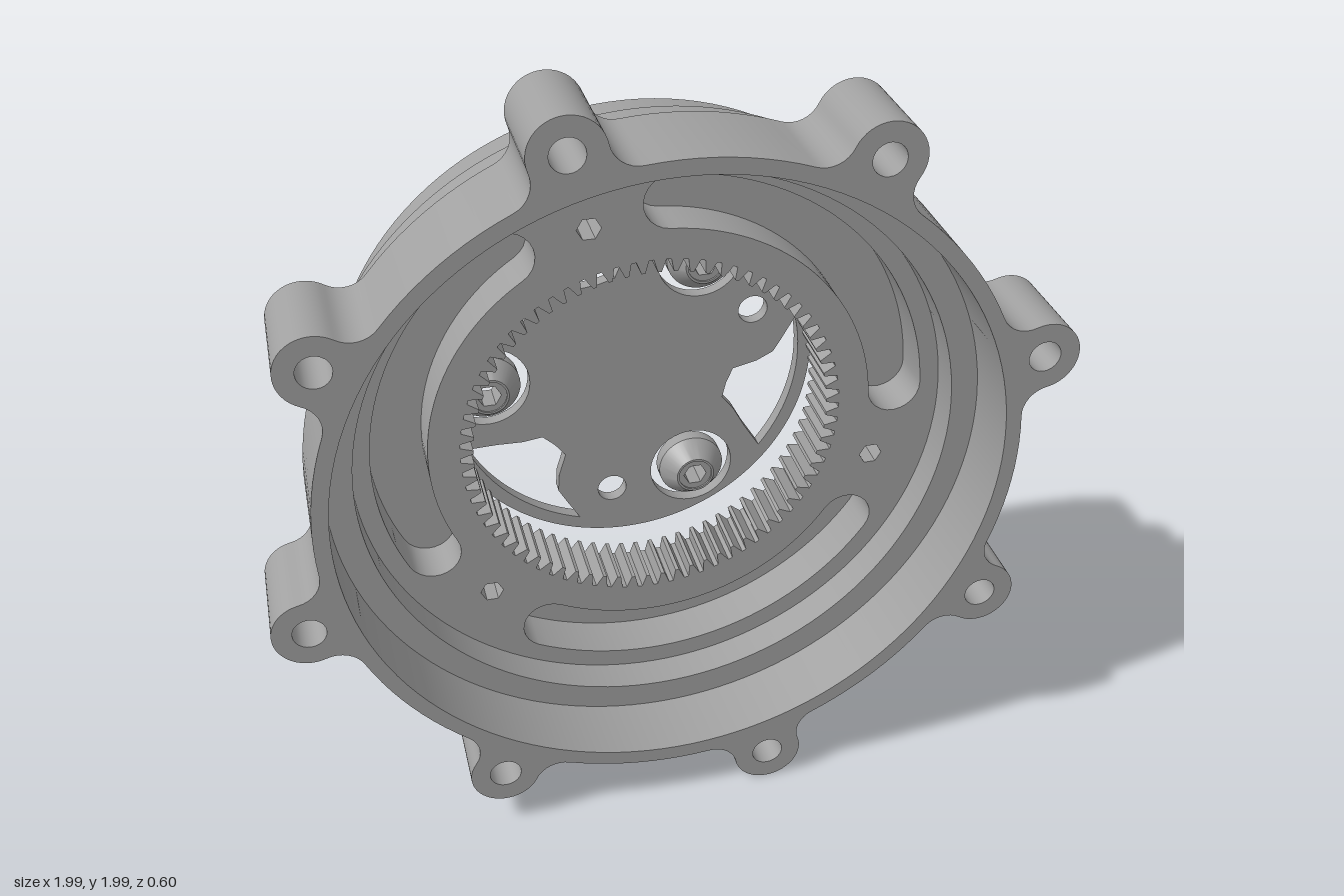
import * as THREE from 'three';
import { toCreasedNormals } from 'three/addons/utils/BufferGeometryUtils.js';

const RAD = Math.PI / 180;
const metal = new THREE.MeshStandardMaterial({ color: 0xa0a0a0 });
metal.name = 'grey metal';

const polar = (r, deg, cx = 0, cy = 0) =>
  new THREE.Vector2(cx + r * Math.cos(deg * RAD), cy + r * Math.sin(deg * RAD));

// Points along an arc, angles in degrees
function arc(r, a0, a1, n, cx = 0, cy = 0) {
  const pts = [];
  for (let i = 0; i <= n; i++) pts.push(polar(r, a0 + (a1 - a0) * i / n, cx, cy));
  return pts;
}
const circle = (r, n, c = { x: 0, y: 0 }) => arc(r, 0, 360, n, c.x, c.y).slice(0, n);

function addMesh(group, name, geo) {
  const mesh = new THREE.Mesh(toCreasedNormals(geo, 0.55), metal);
  mesh.name = name;
  group.add(mesh);
  return mesh;
}

// Flat outline with holes, extruded from z0 to z1
function slab(outline, holes, z0, z1) {
  const shape = new THREE.Shape(outline);
  holes.forEach(h => shape.holes.push(new THREE.Path(h)));
  const geo = new THREE.ExtrudeGeometry(shape, { depth: z1 - z0, bevelEnabled: false });
  return geo.translate(0, 0, z0);
}

// Closed [radius, z] profile turned about the z axis
function turned(profile, n) {
  const pts = [...profile, profile[0]].map(p => new THREE.Vector2(p[0], p[1]));
  return new THREE.LatheGeometry(pts, n).rotateX(Math.PI / 2);
}

// Round flange outline with eight filleted lugs
function flangeOutline(lugs) {
  const R = 0.87, D = 0.94, r = 0.09, f = 0.07;
  const a = R + f, b = r + f;
  const phi = Math.acos((a * a + D * D - b * b) / (2 * a * D)) / RAD;
  const pts = [];
  lugs.forEach(t => {
    const c = polar(D, t), f1 = polar(a, t - phi), f2 = polar(a, t + phi);
    const dir = (p, q) => Math.atan2(q.y - p.y, q.x - p.x) / RAD;
    const wrap = (v, from) => from + ((v - from) % 360 + 360) % 360;
    // fillets run clockwise, the lug nose counter-clockwise
    const s1 = t - phi + 180, e1 = dir(f1, c);
    pts.push(...arc(f, s1, s1 - (wrap(s1, e1) - e1), 8, f1.x, f1.y));
    const l0 = dir(c, f1), l1 = wrap(dir(c, f2), l0);
    pts.push(...arc(r, l0, l1, 24, c.x, c.y).slice(1));
    const s2 = dir(f2, c), e2 = t + phi + 180;
    pts.push(...arc(f, s2, s2 - (wrap(s2, e2) - e2), 8, f2.x, f2.y).slice(1));
    pts.push(...arc(R, t + phi, t + 45 - phi, 10).slice(1, -1));
  });
  return pts;
}

// Curved slot with round ends
function slot(a0, a1) {
  const r = 0.64, w = 0.07, c0 = polar(r, a0), c1 = polar(r, a1);
  return [
    ...arc(r + w, a0, a1, 32),
    ...arc(w, a1, a1 + 180, 12, c1.x, c1.y).slice(1),
    ...arc(r - w, a1, a0, 32).slice(1),
    ...arc(w, a0 + 180, a0 + 360, 12, c0.x, c0.y).slice(1, -1),
  ];
}

// Inward teeth of the ring gear
function gearTeeth(count) {
  const pts = [], step = 360 / count;
  for (let i = 0; i < count; i++) {
    const t = i * step;
    [[0.49, 0.0], [0.49, 0.28], [0.457, 0.52], [0.457, 0.76]]
      .forEach(([r, k]) => pts.push(polar(r, t + k * step)));
  }
  return pts;
}

// Lightening window of the carrier plate
function carrierWindow(turn) {
  const edge = [[0.43, 126], [0.405, 121], [0.36, 117.5], [0.295, 114],
    [0.285, 105], [0.29, 96], [0.34, 91.5], [0.4, 86]];
  return [
    ...arc(0.475, 82, 133, 16),
    ...edge.map(([r, a]) => polar(r, a)),
  ].map(p => p.rotateAround(new THREE.Vector2(), turn * RAD));
}

export function createModel() {
  const root = new THREE.Group();
  root.name = 'gearHousing';
  const body = new THREE.Group();
  body.name = 'housingBody';
  body.position.y = 1;
  root.add(body);
  const thirds = [0, 120, 240];

  // Mounting flange
  const lugs = Array.from({ length: 8 }, (_, i) => 15.5 + 45 * i);
  addMesh(body, 'mountingFlange', slab(flangeOutline(lugs),
    [circle(0.83, 128), ...lugs.map(t => circle(0.041, 24, polar(0.94, t)))], 0.05, 0.3));

  // Stepped wall behind the flange
  addMesh(body, 'steppedWall', turned([
    [0.83, 0.12], [0.76, 0.12], [0.76, -0.1], [0.735, -0.1], [0.735, -0.27],
    [0.77, -0.27], [0.77, -0.09], [0.825, -0.09], [0.825, 0.05], [0.83, 0.05],
  ], 128));

  // Floor: pocketed front layer and closed back layer
  const boltSpots = thirds.map(t => polar(0.61, 104.7 + t));
  const boltHoles = boltSpots.map(c => circle(0.03, 6, c));
  const bore = circle(0.51, 144);
  addMesh(body, 'pocketedFloor', slab(circle(0.762, 128),
    [bore, ...boltHoles, ...thirds.map(t => slot(3.5 + t, 86 + t))], -0.09, 0.03));
  addMesh(body, 'floorBacking', slab(circle(0.745, 128), [bore, ...boltHoles], -0.12, -0.09));

  // Hex bolt bosses on the back of the floor
  boltSpots.forEach((c, i) => addMesh(body, 'boltBoss' + (i + 1),
    slab(circle(0.055, 32, c), [boltHoles[i]], -0.135, -0.12)));

  // Internal ring gear
  addMesh(body, 'ringGear', slab(bore, [gearTeeth(72)], -0.12, 0.03));

  // Carrier plate at the back
  const screwSpots = thirds.map(t => polar(0.377, 58.5 + t));
  addMesh(body, 'carrierPlate', slab(circle(0.51, 128), [
    ...screwSpots.map(c => circle(0.115, 40, c)),
    ...thirds.map(t => circle(0.04, 24, polar(0.373, 23 + t))),
    ...thirds.map(carrierWindow),
  ], -0.3, -0.265));

  // Conical screws with hex sockets
  screwSpots.forEach((c, i) => {
    const screw = new THREE.Group();
    screw.name = 'carrierScrew' + (i + 1);
    screw.position.set(c.x, c.y, 0);
    addMesh(screw, 'screwCone', turned([
      [0.046, -0.215], [0.046, -0.285], [0.065, -0.285], [0.065, -0.3],
      [0.09, -0.3], [0.09, -0.265], [0.052, -0.215],
    ], 40));
    addMesh(screw, 'screwSocket', slab(circle(0.047, 32), [circle(0.032, 6)], -0.295, -0.22));
    body.add(screw);
  });

  return root;
}
